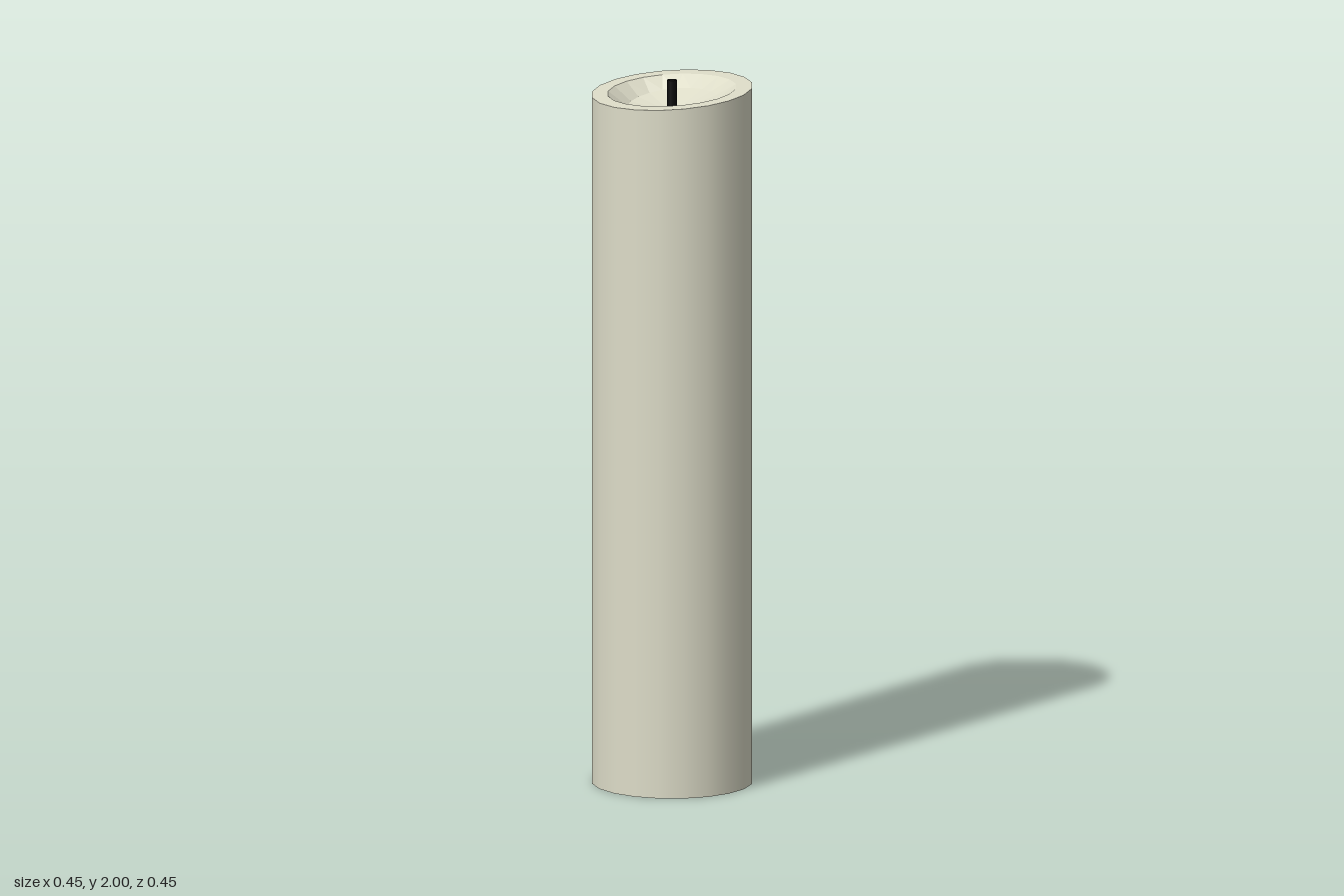
import * as THREE from 'three';

const SIDES = 20;
const RADIUS = 0.225;
// The rim slopes up towards +x
const rimY = (x) => 1.971 + x * 0.067;

export function createModel() {
  const candle = new THREE.Group();
  candle.name = 'candle';
  const wax = new THREE.MeshStandardMaterial({ color: 0xdddcc8 });
  const waxFlat = new THREE.MeshStandardMaterial({ color: 0xdddcc8, flatShading: true });
  const black = new THREE.MeshStandardMaterial({ color: 0x0d0d0d });

  const add = (name, geometry, material) => {
    const mesh = new THREE.Mesh(geometry, material);
    mesh.name = name;
    candle.add(mesh);
    return mesh;
  };

  // Smooth wall, with its upper edge cut on the slope
  const wall = new THREE.CylinderGeometry(RADIUS, RADIUS, 2, SIDES, 1, true);
  const wp = wall.attributes.position;
  for (let i = 0; i < wp.count; i++) {
    wp.setY(i, wp.getY(i) > 0 ? rimY(wp.getX(i)) : 0);
  }
  add('waxBody', wall, wax);

  // Flat underside
  add('base', new THREE.CircleGeometry(RADIUS, SIDES).rotateX(Math.PI / 2), wax);

  // Rim and melted hollow: rim edge, hollow edge, pool edge, centre
  const radii = [RADIUS, 0.18, 0.14, 0];
  const top = new THREE.LatheGeometry(radii.map((r) => new THREE.Vector2(r, 0)), SIDES);
  const tp = top.attributes.position;
  for (let i = 0; i < tp.count; i++) {
    const ring = i % radii.length;
    const x = tp.getX(i);
    if (ring < 2) tp.setY(i, rimY(x));
    else if (ring === 2) {
      // The pool is narrower across x and deepest at the low side
      tp.setX(i, x * 0.87);
      tp.setY(i, 1.935 + x * 0.14);
    } else tp.setY(i, 1.905);
  }
  const hollow = top.toNonIndexed();
  hollow.computeVertexNormals();
  add('meltedTop', hollow, waxFlat);

  // Wick
  add('wick', new THREE.CylinderGeometry(0.0135, 0.0135, 0.11, 16), black).position.y = 1.945;

  return candle;
}
